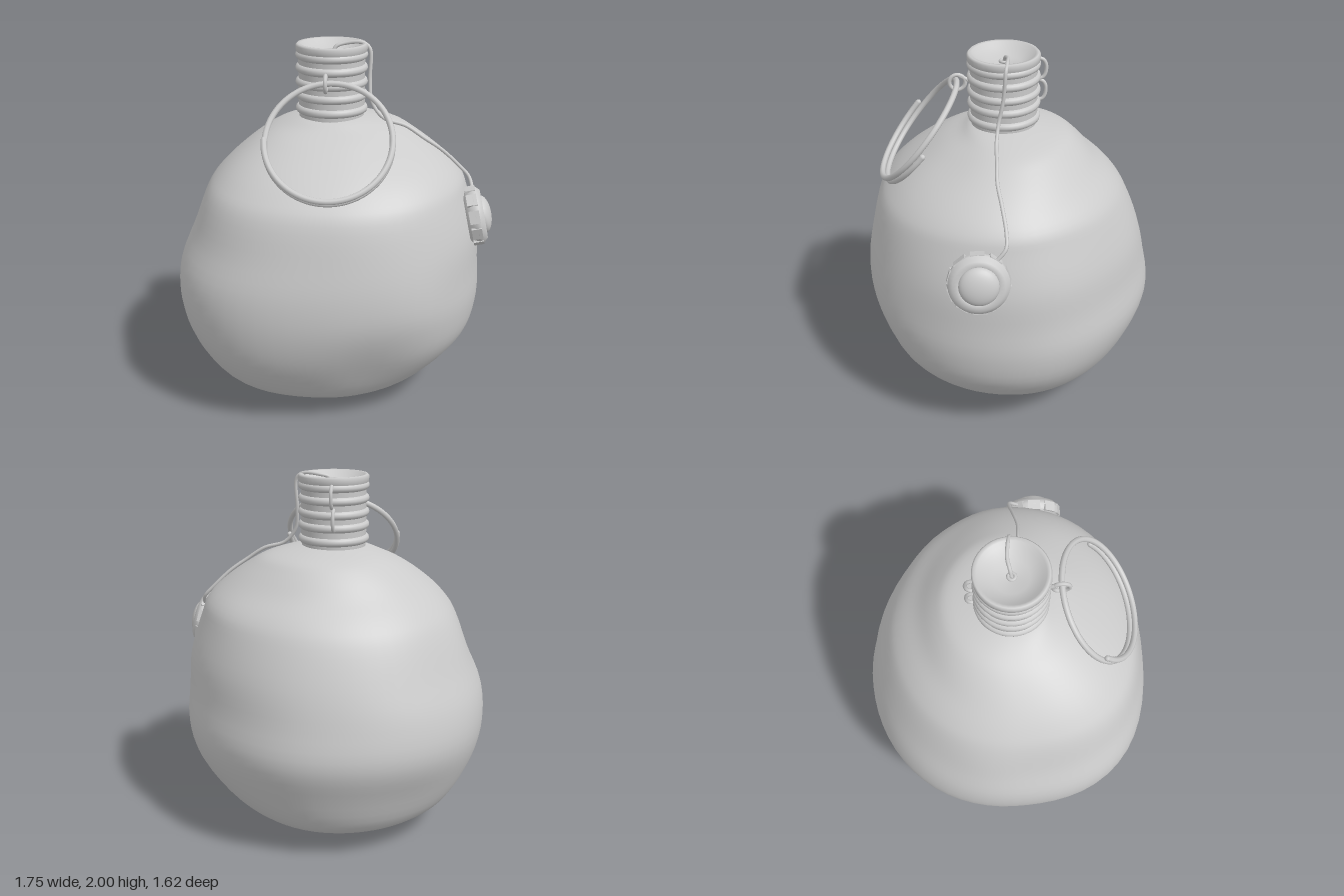
import * as THREE from 'three';

const mat = new THREE.MeshStandardMaterial({ color: 0xcccccc, roughness: 0.8, side: THREE.DoubleSide });
const V = (x, y, z) => new THREE.Vector3(x, y, z);

function add(parent, name, geometry) {
  const mesh = new THREE.Mesh(geometry, mat);
  mesh.name = name;
  parent.add(mesh);
  return mesh;
}

// Smooth wire through points, closed at both ends with small balls
function wire(parent, name, points, radius, segments = 80) {
  const curve = new THREE.CatmullRomCurve3(points);
  const mesh = add(parent, name, new THREE.TubeGeometry(curve, segments, radius, 8));
  for (const p of [points[0], points[points.length - 1]]) {
    add(mesh, name + 'End', new THREE.SphereGeometry(radius, 8, 6)).position.copy(p);
  }
  return mesh;
}

// Body sections: height, left and right extent in x, back and front extent in z
const sections = [
  [0.00, 0.00, 0.04, 0.13, 0.25],
  [0.03, -0.28, 0.23, -0.27, 0.36],
  [0.10, -0.53, 0.46, -0.51, 0.51],
  [0.20, -0.69, 0.62, -0.65, 0.62],
  [0.40, -0.81, 0.785, -0.74, 0.745],
  [0.60, -0.865, 0.835, -0.805, 0.805],
  [0.80, -0.855, 0.825, -0.775, 0.81],
  [1.00, -0.77, 0.81, -0.725, 0.775],
  [1.20, -0.695, 0.75, -0.645, 0.725],
  [1.30, -0.63, 0.71, -0.575, 0.655],
  [1.40, -0.53, 0.61, -0.47, 0.54],
  [1.50, -0.40, 0.47, -0.38, 0.39],
  [1.56, -0.29, 0.36, -0.30, 0.27],
  [1.60, -0.17, 0.20, -0.15, 0.20],
  [1.62, -0.05, 0.05, -0.03, 0.08],
];

// Local dents and swellings: centre, spread, amount
const bumps = [
  [V(0.22, 0.38, 0.72), 0.22, -0.035],
  [V(-0.4, 0.35, 0.6), 0.25, 0.02],
  [V(0.45, 0.75, 0.65), 0.2, 0.015],
  [V(0.3, 1.45, 0.3), 0.15, -0.02],
  [V(0.5, 1.3, -0.4), 0.2, 0.015],
  [V(-0.75, 1.05, -0.15), 0.2, 0.015],
  [V(-0.5, 0.3, -0.55), 0.25, -0.02],
];

function bodyGeometry() {
  const rows = 56, cols = 64;
  const low = new THREE.CatmullRomCurve3(sections.map(s => V(s[1], s[0], s[3])), false, 'catmullrom', 0.5);
  const high = new THREE.CatmullRomCurve3(sections.map(s => V(s[2], s[0], s[4])), false, 'catmullrom', 0.5);
  const position = [], index = [];
  for (let i = 0; i <= rows; i++) {
    const a = low.getPoint(i / rows), b = high.getPoint(i / rows);
    for (let j = 0; j < cols; j++) {
      const t = (j / cols) * Math.PI * 2, c = Math.cos(t), s = Math.sin(t);
      // uneven fullness of the four diagonals
      const k = s > 0 ? (c > 0 ? 0.02 : 0.075) : (c > 0 ? -0.035 : 0.02);
      const f = 1 + k * Math.sin(2 * t) ** 2;
      const p = V((a.x + b.x) / 2 + c * f * (b.x - a.x) / 2, Math.max(0, a.y),
        (a.z + b.z) / 2 + s * f * (b.z - a.z) / 2);
      let push = 0;
      for (const [q, r, h] of bumps) push += h * Math.exp(-p.distanceToSquared(q) / (r * r));
      position.push(p.x + c * push, p.y, p.z + s * push);
      if (i < rows) {
        const n = (j + 1) % cols, u = i * cols, v = u + cols;
        index.push(u + j, v + j, u + n, u + n, v + j, v + n);
      }
    }
  }
  // close bottom and top
  for (const [row, y, flip] of [[0, 0, false], [rows, 1.62, true]]) {
    const m = position.length / 3, a = low.getPoint(row / rows), b = high.getPoint(row / rows);
    position.push((a.x + b.x) / 2, y, (a.z + b.z) / 2);
    for (let j = 0; j < cols; j++) {
      const u = row * cols + j, w = row * cols + (j + 1) % cols;
      index.push(m, flip ? w : u, flip ? u : w);
    }
  }
  const g = new THREE.BufferGeometry();
  g.setAttribute('position', new THREE.Float32BufferAttribute(position, 3));
  g.setIndex(index);
  g.computeVertexNormals();
  return g;
}

export function createModel() {
  const model = new THREE.Group();
  model.name = 'gourdFlask';

  add(model, 'body', bodyGeometry());

  // Neck with rim, shallow bowl and wound bands
  const neck = new THREE.Group();
  neck.name = 'neck';
  neck.position.set(-0.005, 0, 0.032);
  model.add(neck);
  const profile = [[0.17, 1.55], [0.18, 1.62], [0.18, 1.94], [0.192, 1.95], [0.194, 1.98], [0.185, 1.99],
    [0.168, 1.988], [0.15, 1.965], [0.09, 1.935], [0, 1.925]].map(p => new THREE.Vector2(...p));
  add(neck, 'neckTube', new THREE.LatheGeometry(profile, 40));
  for (const y of [1.64, 1.715, 1.785, 1.86, 1.93]) {
    const band = add(neck, 'neckBand', new THREE.TorusGeometry(0.173, 0.023, 10, 40));
    band.rotation.x = Math.PI / 2;
    band.position.y = y;
  }

  // Cord from the bowl, over the rim and along the shoulder to the stopper
  wire(model, 'cord', [V(0, 1.935, 0.03), V(0.02, 1.97, 0.025), V(0.07, 1.985, 0.015), V(0.16, 2.0 - 0.01, 0.025),
    V(0.2, 1.96, 0.035), V(0.202, 1.8, 0.05), V(0.215, 1.68, 0.075), V(0.28, 1.595, 0.09), V(0.4, 1.555, 0.095),
    V(0.5, 1.49, 0.1), V(0.6, 1.42, 0.085), V(0.7, 1.325, 0.07), V(0.755, 1.265, 0.075), V(0.775, 1.2, 0.13)], 0.01, 120);
  const knot = add(neck, 'cordKnot', new THREE.TorusGeometry(0.018, 0.009, 8, 16));
  knot.rotation.x = Math.PI / 2;
  knot.position.y = 1.94;

  // Stopper on the side: notched collar with a domed centre
  const stopper = new THREE.Group();
  stopper.name = 'stopper';
  stopper.position.set(0.77, 1.085, 0.212);
  stopper.quaternion.setFromUnitVectors(V(0, 1, 0), V(0.97, 0.21, 0.03).normalize());
  model.add(stopper);
  const collar = [[0, -0.03], [0.14, -0.03], [0.152, 0], [0.16, 0.02], [0.156, 0.04], [0.132, 0.064],
    [0.105, 0.064], [0.1, 0.058]].map(p => new THREE.Vector2(...p));
  add(stopper, 'stopperCollar', new THREE.LatheGeometry(collar, 36));
  const dome = add(stopper, 'stopperDome', new THREE.SphereGeometry(0.103, 28, 10, 0, Math.PI * 2, 0, Math.PI / 2));
  dome.scale.y = 0.45;
  dome.position.y = 0.058;
  for (let i = 0; i < 10; i++) {
    const a = (i / 10) * Math.PI * 2;
    const lug = add(stopper, 'stopperLug', new THREE.BoxGeometry(0.016, 0.055, 0.07));
    lug.position.set(Math.cos(a) * 0.151, 0.012, Math.sin(a) * 0.151);
    lug.rotation.y = -a;
  }

  // Split ring: one and a half turns of wire, doubled along the lower half
  const ring = new THREE.Group();
  ring.name = 'splitRing';
  ring.position.set(0, 1.57, 0.485);
  ring.rotation.x = -Math.atan2(0.42, 0.52);
  model.add(ring);
  const turns = [];
  for (let i = 0; i <= 48; i++) {
    const a = Math.PI + (i / 48) * Math.PI * 3;
    const lift = 0.016 * Math.cos(Math.PI * THREE.MathUtils.clamp((i - 16) / 16, 0, 1));
    turns.push(V(Math.cos(a) * 0.325, Math.sin(a) * 0.325, lift));
  }
  wire(ring, 'ringWire', turns, 0.016, 120);

  // Eyelet holding the ring, and its bent wire tails behind the neck
  const eyelet = add(model, 'eyelet', new THREE.TorusGeometry(0.042, 0.011, 8, 24));
  eyelet.position.set(-0.025, 1.82, 0.277);
  eyelet.rotation.y = Math.PI / 2;
  wire(model, 'eyeletShank', [V(-0.025, 1.86, 0.27), V(-0.025, 1.84, 0.235), V(-0.025, 1.82, 0.2)], 0.011, 12);
  for (const [y, x] of [[1.885, -0.02], [1.76, -0.03]]) {
    wire(model, 'wireTail', [V(x, y + 0.06, -0.16), V(x, y + 0.05, -0.18), V(x, y + 0.025, -0.193),
      V(x, y - 0.02, -0.192), V(x, y - 0.045, -0.178), V(x, y - 0.055, -0.155)], 0.01, 24);
  }

  return model;
}
